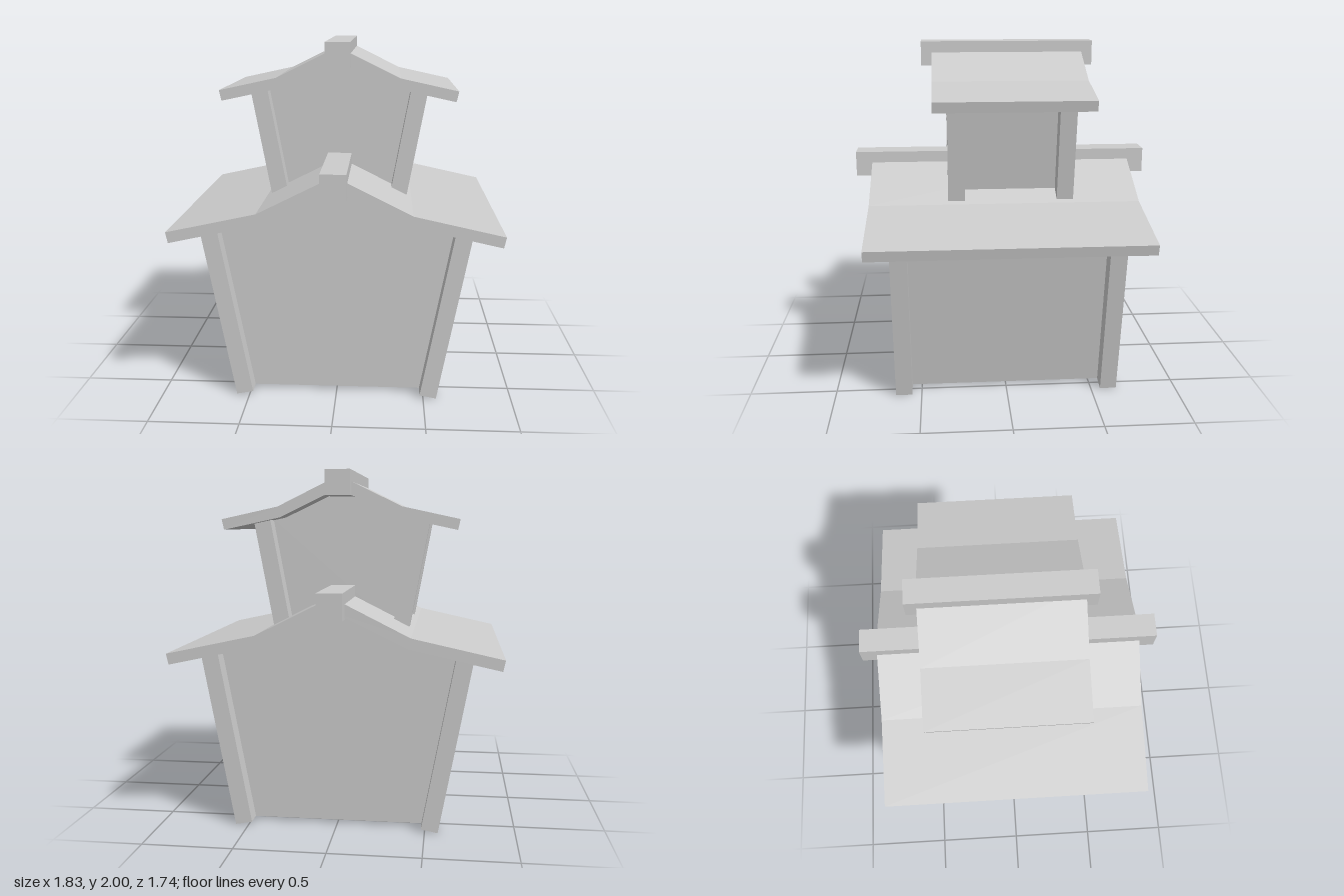
import * as THREE from 'three';

const material = new THREE.MeshStandardMaterial({ color: 0xcccccc, flatShading: true });
const wallMaterial = new THREE.MeshStandardMaterial({ color: 0xcccccc, flatShading: true, side: THREE.DoubleSide });

function add(parent, name, geometry, mat = material) {
  const mesh = new THREE.Mesh(geometry, mat);
  mesh.name = name;
  parent.add(mesh);
  return mesh;
}

// Closed shape from right-half points, mirrored to the left
function mirroredShape(half) {
  const points = [...half, ...half.map(([x, y]) => [-x, y]).reverse()];
  return new THREE.Shape(points.map(([x, y]) => new THREE.Vector2(x, y)));
}

// Prism running along z, centred on z = 0
function prism(shape, depth) {
  return new THREE.ExtrudeGeometry(shape, { depth, bevelEnabled: false }).translate(0, 0, -depth / 2);
}

// One storey: flared open-bottomed walls, leaning corner posts, bent roof, ridge beam
function storey(name, s) {
  const group = new THREE.Group();
  group.name = name;
  const [bottom, top] = s.wall;
  const half = s.wallDepth / 2;

  // Gable walls, reaching up inside the roof
  const gable = mirroredShape([bottom, top, s.gableBend, [0.001, s.gableTop]]);
  for (const side of [1, -1]) {
    const wall = add(group, side > 0 ? 'frontWall' : 'backWall', new THREE.ShapeGeometry(gable), wallMaterial);
    wall.position.z = side * half;
    if (side < 0) wall.rotation.y = Math.PI;
  }

  // Leaning side walls
  const dx = top[0] - bottom[0];
  const dy = top[1] - bottom[1];
  const lean = Math.atan2(dx, dy);
  for (const side of [1, -1]) {
    const geometry = new THREE.PlaneGeometry(s.wallDepth, Math.hypot(dx, dy)).rotateY(side * Math.PI / 2);
    const wall = add(group, side > 0 ? 'leftWall' : 'rightWall', geometry, wallMaterial);
    wall.position.set(side * (bottom[0] + top[0]) / 2, (bottom[1] + top[1]) / 2, 0);
    wall.rotation.z = -side * lean;
  }

  // Corner posts against the outer corners of the walls
  const size = 0.095;
  const offset = size / 2;
  for (const x of [1, -1]) {
    for (const z of [1, -1]) {
      const post = add(group, 'cornerPost', new THREE.BoxGeometry(size, Math.hypot(dx, dy), size));
      post.position.set(
        x * ((bottom[0] + top[0]) / 2 + offset * Math.cos(lean)),
        (bottom[1] + top[1]) / 2 - offset * Math.sin(lean),
        z * (half + offset)
      );
      post.rotation.z = -x * lean;
    }
  }

  // Roof slab and the beam along its ridge
  add(group, 'roof', prism(mirroredShape(s.roof), s.roofDepth));
  const [low, high] = s.ridge;
  const beam = add(group, 'ridgeBeam', new THREE.BoxGeometry(0.14, high - low, s.ridgeDepth));
  beam.position.y = (low + high) / 2;
  return group;
}

export function createModel() {
  const model = new THREE.Group();
  model.name = 'twoStoreyHouse';

  model.add(storey('lowerStorey', {
    wall: [[0.48, 0.02], [0.665, 1.017]],
    gableBend: [0.41, 1.08],
    gableTop: 1.28,
    wallDepth: 1.11,
    roof: [[0.001, 1.245], [0.405, 1.05], [0.9, 0.943], [0.913, 1.003], [0.42, 1.11], [0.001, 1.32]],
    roofDepth: 1.55,
    ridge: [1.205, 1.35],
    ridgeDepth: 1.74
  }));

  const upper = storey('upperStorey', {
    wall: [[0.296, 1.12], [0.409, 1.735]],
    gableBend: [0.34, 1.77],
    gableTop: 1.93,
    wallDepth: 0.53,
    roof: [[0.001, 1.9], [0.335, 1.74], [0.657, 1.671], [0.67, 1.73], [0.348, 1.8], [0.001, 1.97]],
    roofDepth: 0.88,
    ridge: [1.86, 2],
    ridgeDepth: 1.005
  });
  upper.position.z = -0.035;
  model.add(upper);

  return model;
}
